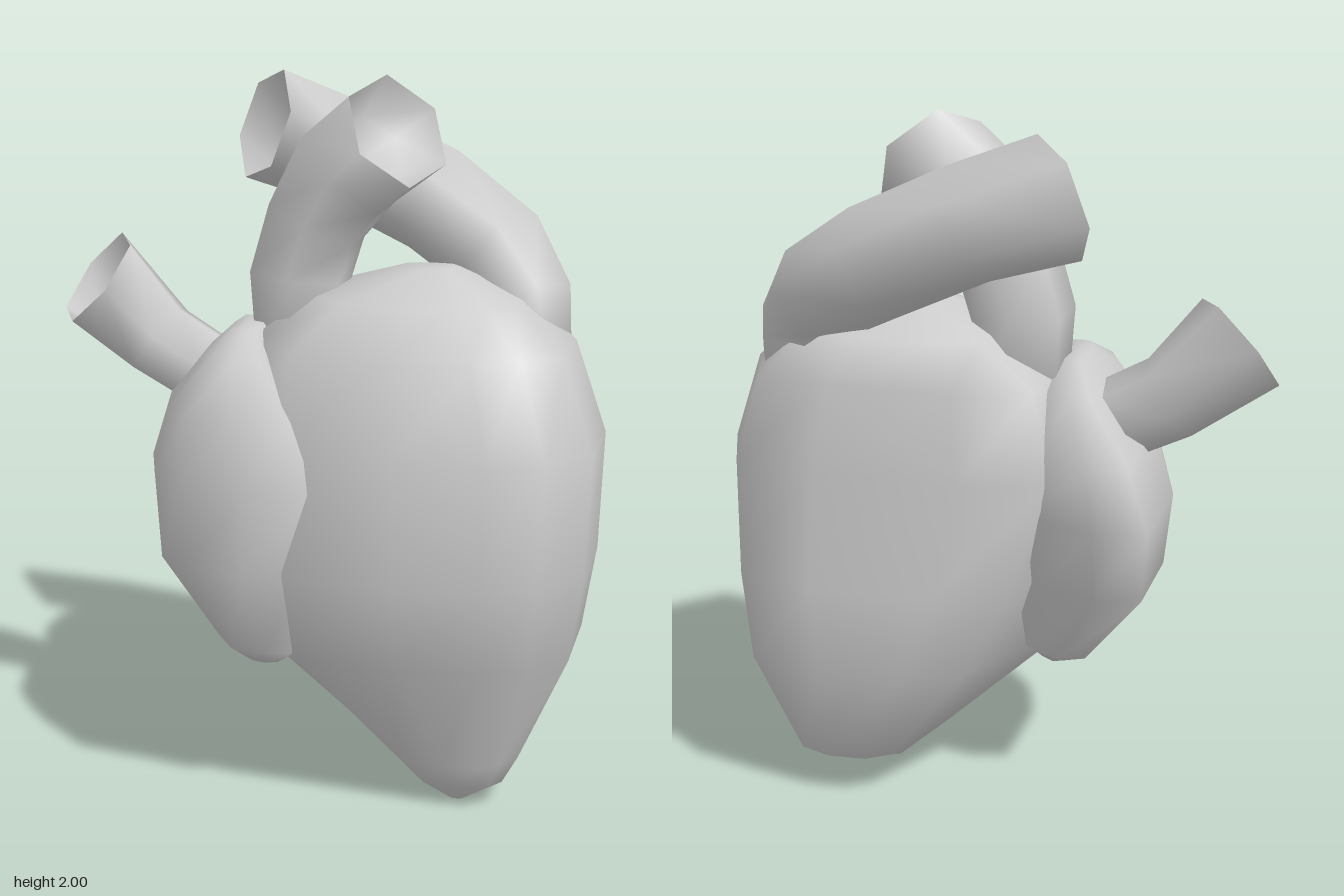
import * as THREE from 'three';

const grey = new THREE.MeshStandardMaterial({ color: 0xcccccc, side: THREE.DoubleSide });
const V = (x, y, z) => new THREE.Vector3(x, y, z);

// Skin a list of equal-sized rings with smooth shared normals; optionally close each end
function loft(name, rings, capStart, capEnd) {
  const n = rings[0].length, pos = [], index = [];
  rings.forEach(r => r.forEach(p => pos.push(p.x, p.y, p.z)));
  for (let i = 0; i < rings.length - 1; i++) {
    for (let j = 0; j < n; j++) {
      const a = i * n + j, b = i * n + (j + 1) % n;
      index.push(a, b, b + n, a, b + n, a + n);
    }
  }
  const cap = (row, flip) => {
    const c = rings[row].reduce((s, p) => s.add(p), V(0, 0, 0)).divideScalar(n);
    const k = pos.length / 3;
    pos.push(c.x, c.y, c.z);
    for (let j = 0; j < n; j++) {
      const a = row * n + j, b = row * n + (j + 1) % n;
      index.push(...(flip ? [b, a, k] : [a, b, k]));
    }
  };
  if (capStart) cap(0, true);
  if (capEnd) cap(rings.length - 1, false);
  const geo = new THREE.BufferGeometry();
  geo.setAttribute('position', new THREE.Float32BufferAttribute(pos, 3));
  geo.setIndex(index);
  geo.computeVertexNormals();
  const mesh = new THREE.Mesh(geo, grey);
  mesh.name = name;
  return mesh;
}

// Chamber: one outline scaled into [y, xMin, xMax, zMin, zMax, cut] at each level;
// cut trims the back corner on the -x side
function chamber(name, outline, levels) {
  const rings = levels.map(([y, x0, x1, z0, z1, cut = 0]) => outline.map(([u, v]) => V(
    (x0 + x1) / 2 + u * (x1 - x0) / 2 + cut * Math.max(0, -u) * Math.max(0, -v),
    y,
    (z0 + z1) / 2 + v * (z1 - z0) / 2)));
  return loft(name, rings, true, true);
}

// Vessel: six-sided rings [x, y, z, radius] along a path, open end cut square to endNormal;
// turn rotates the corners by a fraction of one side
function vessel(name, path, endNormal, turn) {
  const group = new THREE.Group();
  group.name = name;
  const sides = 6;
  const at = i => V(...path[Math.min(Math.max(i, 0), path.length - 1)].slice(0, 3));
  const ring = (c, normal, r) => {
    const u = V(0, 0, 1).addScaledVector(normal, -normal.z).normalize();
    const v = normal.clone().cross(u);
    return Array.from({ length: sides }, (_, j) => {
      const t = (j + turn) / sides * Math.PI * 2;
      return c.clone().addScaledVector(u, r * Math.cos(t)).addScaledVector(v, r * Math.sin(t));
    });
  };
  const last = path.length - 1, end = V(...endNormal).normalize();
  const rings = path.map((p, i) =>
    ring(at(i), i === last ? end : at(i + 1).sub(at(i - 1)).normalize(), p[3]));
  group.add(loft(name + 'Wall', rings, true, false));

  // Hollow mouth
  const r = path[last][3];
  const inward = at(last - 1).sub(at(last)).normalize();
  const deep = ring(at(last).addScaledVector(inward, 0.1), end, r * 0.65);
  group.add(loft(name + 'Hollow', [rings[last], deep], false, true));
  return group;
}

export function createModel() {
  const model = new THREE.Group();
  model.name = 'heart';

  // Large main chamber, tapering to an off-centre tip
  model.add(chamber('mainChamber', [
    [-0.62, 0.97], [0, 1], [0.5, 0.97], [0.78, 0.8], [1, 0.5], [1, -0.31], [0.8, -0.88],
    [0.31, -1], [-0.5, -0.93], [-0.97, -0.68], [-1, 0.45],
  ], [
    [0.0, 0.39, 0.43, 0.06, 0.1],
    [0.07, 0.28, 0.54, -0.08, 0.17, 0.03],
    [0.14, 0.2, 0.58, -0.24, 0.2, 0.1],
    [0.47, -0.16, 0.72, -0.37, 0.34, 0.26],
    [0.72, -0.19, 0.76, -0.36, 0.42, 0.1],
    [1.05, -0.23, 0.77, -0.34, 0.38],
    [1.3, -0.18, 0.68, -0.32, 0.31],
    [1.42, -0.02, 0.54, -0.27, 0.2],
    [1.5, 0.22, 0.36, -0.06, 0.06],
  ]));

  // Smaller side chamber
  model.add(chamber('sideChamber', [
    [-0.33, 0.92], [0.35, 1], [1, 0.88], [1, -0.4], [0.2, -0.8],
    [-0.5, -1], [-1, -0.88], [-0.95, 0.07], [-0.7, 0.6],
  ], [
    [0.42, -0.18, -0.07, 0.02, 0.26],
    [0.48, -0.27, 0.0, -0.08, 0.34],
    [0.72, -0.455, 0.05, -0.19, 0.43],
    [0.95, -0.49, 0.08, -0.28, 0.42],
    [1.13, -0.43, 0.0, -0.28, 0.41],
    [1.28, -0.3, -0.1, -0.18, 0.33],
    [1.34, -0.23, -0.15, -0.02, 0.2],
  ]));

  // Vessels
  model.add(vessel('sideVessel', [
    [-0.2, 1.11, 0.02, 0.1], [-0.34, 1.185, 0.01, 0.115],
    [-0.48, 1.26, 0, 0.12], [-0.665, 1.43, 0, 0.155],
  ], [-0.65, 0.6, 0.42], 0.25));

  model.add(vessel('frontVessel', [
    [-0.06, 1.25, 0, 0.135], [-0.07, 1.46, -0.01, 0.145], [-0.025, 1.61, -0.01, 0.145],
    [0.065, 1.75, 0, 0.165], [0.205, 1.86, 0.02, 0.165],
  ], [0.68, 0.48, 0.5], 0));

  model.add(vessel('archVessel', [
    [0.56, 1.24, -0.1, 0.11], [0.53, 1.4, -0.12, 0.135], [0.46, 1.51, -0.18, 0.145],
    [0.24, 1.64, -0.3, 0.155], [-0.02, 1.76, -0.31, 0.155], [-0.26, 1.84, -0.305, 0.165],
  ], [-0.73, 0.28, 0.6], 0.5));

  return model;
}
